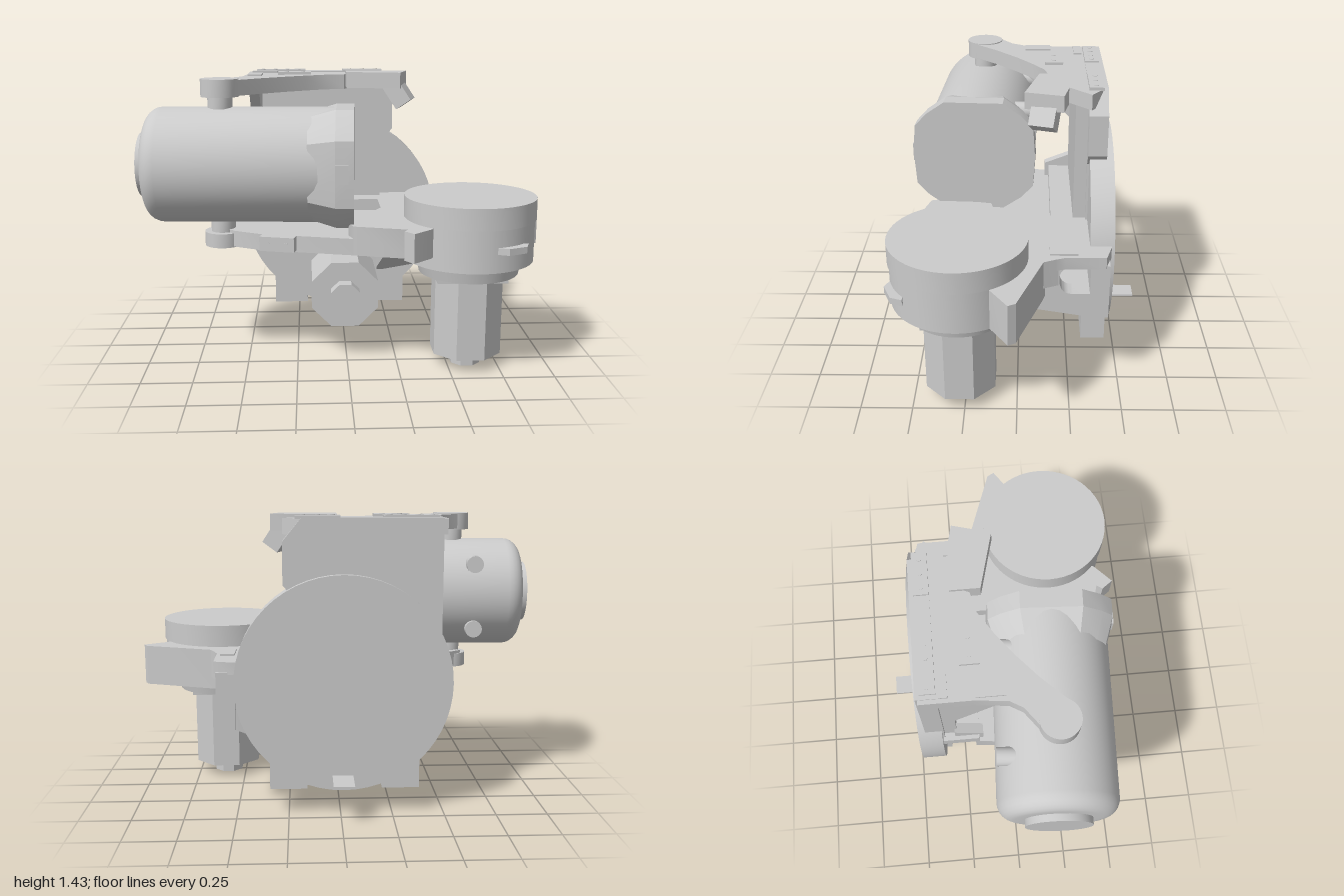
import * as THREE from 'three';
import { toCreasedNormals } from 'three/addons/utils/BufferGeometryUtils.js';
import { ConvexGeometry } from 'three/addons/geometries/ConvexGeometry.js';

export function createModel() {
  const model = new THREE.Group();
  const material = new THREE.MeshStandardMaterial({ color: 0xcccccc });

  function add(name, geometry, parent = model) {
    const mesh = new THREE.Mesh(toCreasedNormals(geometry, 0.5), material);
    mesh.name = name;
    parent.add(mesh);
    return mesh;
  }
  const shapeOf = pts => new THREE.Shape(pts.map(p => new THREE.Vector2(p[0], p[1])));
  const extrude = (shape, depth) => new THREE.ExtrudeGeometry(shape, { depth, bevelEnabled: false, curveSegments: 12 });
  // Box given by its limits
  const box = (x0, x1, y0, y1, z0, z1) =>
    new THREE.BoxGeometry(x1 - x0, y1 - y0, z1 - z0).translate((x0 + x1) / 2, (y0 + y1) / 2, (z0 + z1) / 2);
  // Horizontal slab from an (x, z) outline
  const slab = (pts, y0, y1) => extrude(shapeOf(pts), y1 - y0).rotateX(Math.PI / 2).translate(0, y1, 0);
  // Wall from a (z, y) outline, spanning x0..x1
  const wall = (shape, x0, x1) => extrude(shape, x1 - x0).rotateY(-Math.PI / 2).translate(x1, 0, 0);
  // Upright panel from an (x, y) outline, spanning z0..z1
  const panel = (pts, z0, z1) => extrude(shapeOf(pts), z1 - z0).translate(0, 0, z0);
  const post = (r, x, z, y0, y1, n = 32) =>
    new THREE.CylinderGeometry(r, r, y1 - y0, n).translate(x, (y0 + y1) / 2, z);
  const lathe = (pts, n = 48) => new THREE.LatheGeometry(pts.map(p => new THREE.Vector2(p[0], p[1])), n);

  // Round base disc at the back, with its thin tongue
  add('baseDisc', lathe([[0, -0.455], [0.52, -0.455], [0.52, -0.34], [0, -0.34]], 56)
    .rotateX(Math.PI / 2).translate(-0.015, 0.64, 0));
  add('tongue', box(-0.06, 0.04, 0.187, 0.195, -0.615, -0.43));

  // Back plate, its thicker core and the feet
  add('backPlate', panel([[-0.48, 0.62], [0.22, 0.62], [0.22, 1.05], [0.27, 1.11], [0.27, 1.31], [0.18, 1.42], [-0.48, 1.42]], -0.42, -0.33));
  add('plateCore', box(-0.46, 0.2, 0.7, 1.41, -0.34, -0.27));
  for (const x of [-0.38, 0.16]) {
    add('foot', box(x, x + 0.18, 0.125, 0.54, -0.44, -0.32));
  }
  add('gearHousing', panel([[-0.25, 0.54], [-0.25, 0.42], [-0.13, 0.24], [0.1, 0.24], [0.18, 0.34], [0.18, 0.54]], -0.4, -0.19));

  // Two arms that hold the drum between their knuckles
  const hookOutline = [[-0.42, 0.12], [-0.55, 0.255], [-0.67, 0.13], [-0.55, 0.04], [-0.515, -0.02], [-0.5, -0.17]];
  add('upperArm', slab([[-0.5, -0.41], [0.17, -0.41], [0.27, -0.34], [0.17, -0.24], [0.02, -0.2], [0, -0.15], [-0.1, -0.125],
    [-0.2, -0.06], [-0.3, 0.015], ...hookOutline], 1.34, 1.415));
  add('lowerArm', slab([[-0.5, -0.18], [0.3, -0.18], [0.3, 0.5], [0.02, 0.45], [-0.42, 0.34], [-0.55, 0.27],
    ...hookOutline.slice(2)], 0.61, 0.69));
  add('lowerArmRoot', box(-0.5, 0.2, 0.69, 0.75, -0.42, -0.16));
  for (const [name, y0, y1, pin0, pin1] of [['upper', 1.335, 1.42, 1.26, 1.34], ['lower', 0.605, 0.675, 0.67, 0.75]]) {
    add(name + 'Knuckle', post(0.092, -0.61, 0.19, y0, y1));
    add(name + 'Pin', post(0.06, -0.61, 0.19, pin0, pin1, 16));
  }
  add('upperGusset', wall(shapeOf([[0.02, 1.34], [-0.28, 1.34], [-0.28, 1.03]]), -0.48, -0.43));
  add('lowerGusset', wall(shapeOf([[-0.14, 0.69], [-0.14, 0.765], [-0.28, 0.82], [-0.28, 0.69]]), -0.48, -0.43));

  // Large drum, turned slightly about the vertical
  const drum = new THREE.Group();
  drum.name = 'drum';
  drum.position.set(-0.47, 1.005, 0.195);
  drum.rotation.y = -0.055;
  model.add(drum);
  const profile = [[0, -0.53], [0.155, -0.53], [0.155, -0.497], [0.2, -0.497]];
  for (let i = 1; i <= 6; i++) {
    const a = i * Math.PI / 12;
    profile.push([0.2 + 0.08 * Math.sin(a), -0.417 - 0.08 * Math.cos(a)]);
  }
  profile.push([0.28, 0.45], [0, 0.45]);
  add('drumBody', lathe(profile, 48).rotateZ(-Math.PI / 2), drum);
  // Faceted end of the drum, flaring out to an oblong octagon
  const quarter = [[0.305, 0.0], [0.295, 0.155], [0.235, 0.22], [0.145, 0.282]];
  const endOutline = [...quarter, ...quarter.slice(1).reverse().map(p => [-p[0], p[1]]),
    [-0.305, 0], ...quarter.slice(1).map(p => [-p[0], -p[1]]), ...quarter.slice(1).reverse().map(p => [p[0], -p[1]])];
  const flare = wall(shapeOf(endOutline), 0.29, 0.42);
  const pos = flare.attributes.position;
  for (let i = 0; i < pos.count; i++) {
    if (pos.getX(i) < 0.35) pos.setXYZ(i, pos.getX(i), pos.getY(i) * 0.87, pos.getZ(i) * 0.87);
  }
  flare.computeVertexNormals();
  add('drumFlare', flare, drum);
  add('drumEnd', wall(shapeOf(endOutline), 0.42, 0.505), drum);
  add('drumLatch', box(0.42, 0.48, -0.04, 0.05, 0.26, 0.312), drum);
  for (const x of [-0.24, 0.27]) for (const y of [-0.165, 0.165]) {
    add('drumLug', new THREE.CylinderGeometry(0.043, 0.043, 0.12, 16).rotateX(Math.PI / 2).translate(x, y, -0.213), drum);
  }

  // Angled block and tilted sensor on the upper arm
  add('sensorMount', slab([[0.01, -0.24], [0.22, -0.235], [0.33, -0.21], [0.28, -0.03], [0.01, -0.1]], 1.35, 1.43));
  const sensor = add('sensor', new THREE.BoxGeometry(0.09, 0.14, 0.12));
  sensor.position.set(0.28, 1.325, -0.125);
  sensor.rotation.set(0, -0.3, 0.6);

  // Lower deck that reaches out to the turret, thinner at the back
  add('rearDeck', slab([[0.17, -0.42], [0.5, -0.44], [0.6, -0.41], [0.6, -0.22], [0.615, -0.18], [0.17, -0.18]], 0.69, 0.75));
  add('deck', slab([[0.18, -0.19], [0.61, -0.19], [0.64, -0.12], [0.75, 0.1], [0.6, 0.3],
    [0.38, 0.5], [0.27, 0.52], [0.02, 0.45], [0.0, 0.38], [0.05, 0.14], [0.14, 0.12], [0.18, 0.05]], 0.61, 0.75));
  const side = shapeOf([[0.1, 0.48], [0.1, 0.7], [-0.43, 0.7], [-0.43, 0.42], [-0.36, 0.42], [0.0, 0.48]]);
  const hole = new THREE.Path();
  hole.moveTo(-0.34, 0.55).lineTo(-0.34, 0.69).lineTo(-0.25, 0.69);
  hole.quadraticCurveTo(-0.195, 0.69, -0.195, 0.63).quadraticCurveTo(-0.195, 0.55, -0.26, 0.55);
  side.holes.push(hole);
  add('deckSide', wall(side, 0.5, 0.59));
  // Brace with an underside that slopes down to the back and inwards
  const bracePoints = [[0.2, 0.49, 0.04], [0.55, 0.48, 0.04], [0.18, 0.29, -0.36], [0.42, 0.38, -0.4], [0.58, 0.44, -0.4],
    [0.2, 0.55, 0.04], [0.55, 0.55, 0.04], [0.18, 0.55, -0.4], [0.58, 0.55, -0.4]];
  add('deckBrace', new ConvexGeometry(bracePoints.map(p => new THREE.Vector3(...p))));
  add('deckWeb', box(0.25, 0.56, 0.54, 0.62, -0.18, 0.1));

  // Turret drum with its three clamp ears
  const cx = 0.6, cz = 0.27;
  add('turret', lathe([[0, 0.48], [0.245, 0.48], [0.26, 0.55], [0.315, 0.55], [0.315, 0.755], [0.322, 0.755], [0.322, 0.86],
    [0, 0.86]], 56).translate(cx, 0, cz));
  add('rightEar', slab([[0.6, -0.13], [0.64, -0.12], [0.98, 0], [0.998, 0.035], [0.87, 0.12], [0.6, 0.2]], 0.55, 0.75));
  add('frontEar', slab([[0.2, 0.48], [0.27, 0.52], [0.25, 0.55], [0.29, 0.605], [0.38, 0.52], [0.5, 0.3], [0.35, 0.2]], 0.61, 0.75));
  add('sideEar', slab([[0.68, 0.5], [0.68, 0.575], [0.73, 0.595], [0.82, 0.555], [0.84, 0.5]], 0.64, 0.672));

  // Eight-sided motor: y along its axis, shaft end at 0
  function motor(name) {
    const g = new THREE.Group();
    g.name = name;
    const turn = Math.PI / 8;
    add('motorBody', new THREE.CylinderGeometry(0.18, 0.18, 0.4, 8).rotateY(turn).translate(0, 0.265, 0), g);
    add('motorTip', new THREE.CylinderGeometry(0.078, 0.078, 0.075, 8).rotateY(turn).translate(0, 0.0375, 0), g);
    add('motorFlange', new THREE.BoxGeometry(0.34, 0.03, 0.34).translate(0, 0.475, 0), g);
    model.add(g);
    return g;
  }
  motor('turretMotor').position.set(0.595, 0, 0.272);
  const lower = motor('lowerMotor');
  lower.rotation.x = -Math.PI / 2;
  lower.position.set(-0.01, 0.345, 0.3);

  // Small connector strips, each with a row of screw heads
  for (const [x0, x1, z0, z1, y, n] of [[-0.46, -0.2, -0.4, -0.33, 1.415, 4], [0, 0.21, -0.4, -0.33, 1.415, 3],
    [-0.34, -0.17, -0.22, -0.13, 1.415, 2], [-0.48, -0.35, -0.32, -0.28, 1.41, 0],
    [-0.49, -0.42, -0.16, -0.03, 1.41, 0], [0.51, 0.58, -0.28, -0.15, 0.745, 0],
    [-0.36, -0.22, -0.42, -0.34, 0.12, 2], [0.18, 0.32, -0.42, -0.34, 0.12, 2]]) {
    add('connectorStrip', box(x0, x1, y - 0.002, y + 0.014, z0, z1));
    const face = y < 0.5 ? y - 0.004 : y + 0.012;
    for (let i = 0; i < n; i++) {
      add('screw', post(0.012, x0 + (x1 - x0) * (i + 0.5) / n, (z0 + z1) / 2, face, face + 0.004, 10));
    }
  }
  const frontStrip = new THREE.Group();
  frontStrip.name = 'frontStrip';
  frontStrip.position.set(-0.335, 0.655, 0.38);
  frontStrip.rotation.y = -0.25;
  model.add(frontStrip);
  add('stripBody', box(-0.085, 0.085, -0.035, 0.035, -0.06, 0.03), frontStrip);
  for (const x of [-0.045, 0.045]) {
    add('screw', new THREE.CylinderGeometry(0.012, 0.012, 0.005, 10).rotateX(Math.PI / 2).translate(x, 0, 0.031), frontStrip);
  }
  return model;
}
